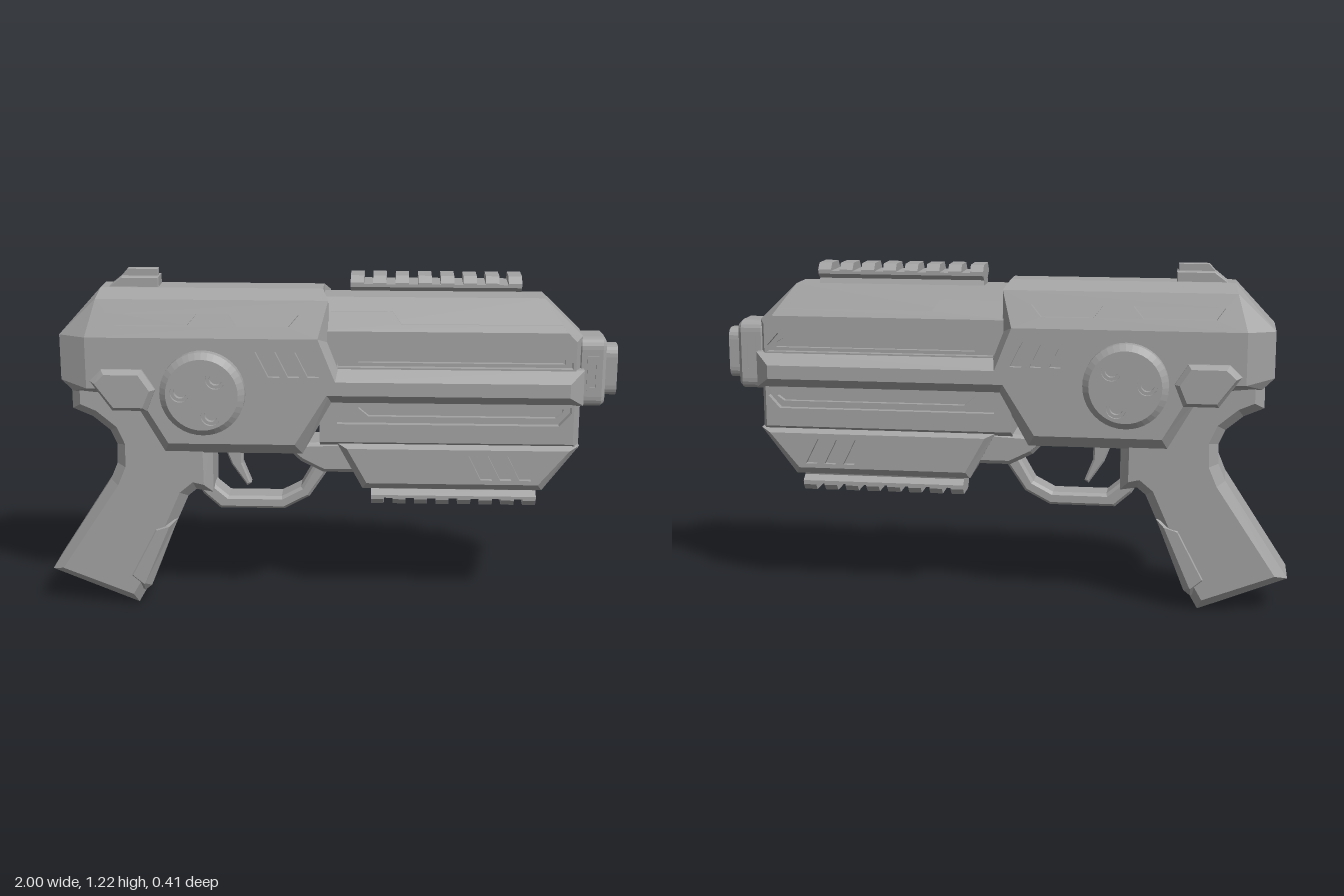
import * as THREE from 'three';

const gray = new THREE.MeshStandardMaterial({ color: 0xa3a3a3 });
gray.name = 'gunmetal gray';

const ccw = (pts) => THREE.ShapeUtils.area(pts.map(([x, y]) => ({ x, y }))) < 0 ? [...pts].reverse() : pts;

// Collects triangles, each mirrored to the other side (z -> -z)
class Faces {
  constructor() { this.pos = []; }
  tri(a, b, c) {
    const m = ([x, y, z]) => [x, y, -z];
    this.pos.push(...a, ...b, ...c, ...m(a), ...m(c), ...m(b));
  }
  quad(a, b, c, d) { this.tri(a, b, c); this.tri(a, c, d); }
  // Surface z = f(x, y) + d inside pts, with walls down to f; d < 0 is a recess. Holes nest.
  relief(pts, f, d = 0, holes = []) {
    const g = (p, h) => [p[0], p[1], f(p[0], p[1]) + h];
    const c = ccw(pts);
    const rings = [c, ...holes.map((h) => ccw(h.pts))];
    const v = rings.map((r) => r.map(([x, y]) => new THREE.Vector2(x, y)));
    const flat = rings.flat();
    for (const [i, j, k] of THREE.ShapeUtils.triangulateShape(v[0], v.slice(1))) {
      this.tri(g(flat[i], d), g(flat[j], d), g(flat[k], d));
    }
    if (d) c.forEach((p, i) => {
      const q = c[(i + 1) % c.length];
      this.quad(g(p, 0), g(q, 0), g(q, d), g(p, d));
    });
    holes.forEach((h) => this.relief(h.pts, (x, y) => f(x, y) + d, h.d, h.holes));
  }
  // Side outlines (counterclockwise) stacked from the outermost z inwards
  shell(layers, holes = [], skipLast = false) {
    this.relief(layers[0].pts, () => layers[0].z, 0, holes);
    for (let k = 0; k + 1 < layers.length; k++) {
      const A = layers[k], B = layers[k + 1], n = A.pts.length;
      for (let i = 0; i < n; i++) {
        if (skipLast && k === 0 && i === n - 1) continue;
        const j = (i + 1) % n;
        this.quad([...B.pts[i], B.z], [...B.pts[j], B.z], [...A.pts[j], A.z], [...A.pts[i], A.z]);
      }
    }
  }
  geometry() {
    const g = new THREE.BufferGeometry();
    g.setAttribute('position', new THREE.Float32BufferAttribute(this.pos, 3));
    g.computeVertexNormals();
    return g;
  }
}

const circle = (cx, cy, r, n = 40) => Array.from({ length: n }, (_, i) => {
  const a = (i / n) * Math.PI * 2;
  return [cx + r * Math.cos(a), cy + r * Math.sin(a)];
});
const shapeOf = (pts) => new THREE.Shape(pts.map(([x, y]) => new THREE.Vector2(x, y)));

// Three slanted vent slots
const vents = (x, y) => [0, 1, 2].map((i) => ({
  pts: [[0, 0.09], [0.045, 0], [0.085, 0], [0.04, 0.09]].map(([a, b]) => [x + a + i * 0.068, y + b]), d: -0.02,
}));

// Rounded rectangle, centred on height y
function roundRect(hw, hh, y, r, Type = THREE.Shape) {
  const s = new Type();
  s.moveTo(hw, y - hh + r);
  s.lineTo(hw, y + hh - r).quadraticCurveTo(hw, y + hh, hw - r, y + hh);
  s.lineTo(-hw + r, y + hh).quadraticCurveTo(-hw, y + hh, -hw, y + hh - r);
  s.lineTo(-hw, y - hh + r).quadraticCurveTo(-hw, y - hh, -hw + r, y - hh);
  s.lineTo(hw - r, y - hh).quadraticCurveTo(hw, y - hh, hw, y - hh + r);
  return s;
}

export function createModel() {
  const model = new THREE.Group();
  const add = (name, geo, parent = model) => {
    const m = new THREE.Mesh(geo, gray);
    m.name = name;
    parent.add(m);
    return m;
  };
  const shaped = (name, build) => { const f = new Faces(); build(f); return add(name, f.geometry()); };
  // Side profile with half width hw and chamfered rims
  const slab = (name, pts, hw, bevel) => {
    const g = new THREE.ExtrudeGeometry(shapeOf(pts), {
      depth: 2 * (hw - bevel), bevelEnabled: true, bevelThickness: bevel, bevelSize: bevel, bevelOffset: -bevel, bevelSegments: 1,
    });
    return add(name, g.translate(0, 0, bevel - hw));
  };
  // Cross-section (z, y) swept along x
  const alongX = (name, shape, x0, x1, bevel = 0, parent = model) => {
    const g = new THREE.ExtrudeGeometry(shape, {
      depth: x1 - x0 - 2 * bevel, bevelEnabled: bevel > 0, bevelThickness: bevel, bevelSize: bevel, bevelOffset: -bevel, bevelSegments: 1, curveSegments: 5,
    });
    return add(name, g.rotateY(Math.PI / 2).translate(x0 + bevel, 0, 0), parent);
  };

  // Rear receiver with vents and slots in its sloped shoulder
  shaped('receiver', (f) => {
    const a = [[-0.835, 1], [-0.835, 1], [-0.835, 0.82], [-0.835, 0.82], [-0.67, 0.82], [-0.555, 0.625],
      [-0.115, 0.625], [0.025, 0.85], [-0.035, 1], [-0.035, 1]];
    const b = [[-0.8, 1.125], [-0.93, 1], [-0.93, 0.84], [-0.89, 0.8], [-0.69, 0.78], [-0.575, 0.58],
      [-0.09, 0.58], [0.055, 0.84], [0, 0.98], [0, 1.125]];
    const c = b.map((p) => [...p]);
    c[0] = [-0.79, 1.155];
    c[9] = [-0.02, 1.155];
    f.shell([{ z: 0.157, pts: a }, { z: 0.11, pts: b }, { z: 0.05, pts: c }, { z: 0, pts: c }], vents(-0.25, 0.865), true);
    const slot = (x0, x1) => ({ pts: [[x0, 1.078], [x0 + 0.03, 1.038], [x1 - 0.035, 1.038], [x1, 1.078]], d: -0.02 });
    f.relief([a[0], a[9], b[9], b[0]], (x, y) => 0.157 - (y - 1) * 0.376, 0, [slot(-0.76, -0.45), slot(-0.345, -0.1)]);
  });

  // Barrel housing with long grooves, each holding a deeper slot
  shaped('barrelHousing', (f) => {
    const a = [[-0.03, 0.625], [0.85, 0.625], [0.85, 0.99], [0.82, 1.02], [-0.03, 1.02]];
    const c = [[-0.03, 0.595], [0.875, 0.595], [0.875, 1], [0.74, 1.13], [-0.03, 1.13]];
    const groove = (flip) => {
      const m = (pts) => pts.map(([x, y]) => [x, flip ? 1.65 - y : y]);
      return {
        pts: m([[0.03, 0.893], [0.84, 0.893], [0.84, 0.915], [0.8, 0.96], [0.03, 0.96]]), d: -0.025,
        holes: [{ pts: m([[0.1, 0.905], [0.815, 0.905], [0.815, 0.92], [0.79, 0.938], [0.14, 0.938]]), d: -0.02 }],
      };
    };
    f.shell([{ z: 0.115, pts: a }, { z: 0.06, pts: c }, { z: 0, pts: c }], [groove(false), groove(true)]);
  });
  shaped('housingTopPanel', (f) => f.relief(
    [[0, 1.025], [0.815, 1.025], [0.8, 1.045], [0.25, 1.045], [0.22, 1.085], [0, 1.085]],
    (x, y) => 0.115 - (y - 1.02) * 0.5, 0.008));
  shaped('sideRidge', (f) => f.shell([
    { z: 0.157, pts: [[-0.01, 0.802], [0.83, 0.802], [0.83, 0.85], [-0.01, 0.85]] },
    { z: 0.112, pts: [[-0.01, 0.765], [0.88, 0.765], [0.88, 0.89], [-0.01, 0.89]] },
    { z: 0.07, pts: [[-0.01, 0.765], [0.88, 0.765], [0.88, 0.89], [-0.01, 0.89]] },
  ]));

  // Lower fore-end
  shaped('foreEnd', (f) => {
    const b = [[0.03, 0.615], [0.12, 0.45], [0.75, 0.45], [0.875, 0.615]];
    f.shell([{ z: 0.115, pts: [[0.065, 0.6], [0.135, 0.475], [0.735, 0.475], [0.84, 0.6]] },
      { z: 0.092, pts: b }, { z: 0, pts: b }], vents(0.49, 0.49));
  });
  slab('frameBridge', [[-0.16, 0.6], [-0.1, 0.54], [-0.02, 0.5], [0.12, 0.5], [0.12, 0.62]], 0.08, 0.015);

  // Toothed rails above and below
  const rail = (name, x0, y, flip) => {
    const g = new THREE.Group();
    g.name = name;
    const base = [[-0.05, -0.01], [0.05, -0.01], [0.04, 0.018], [0.065, 0.035], [0.065, 0.045], [-0.065, 0.045], [-0.065, 0.035], [-0.04, 0.018]];
    const tooth = [[-0.065, 0.04], [0.065, 0.04], [0.065, 0.05], [0.045, 0.072], [-0.045, 0.072], [-0.065, 0.05]];
    alongX('railBase', shapeOf(base), x0, x0 + 0.585, 0, g);
    for (let i = 0; i < 8; i++) alongX('railTooth', shapeOf(tooth), x0 + i * 0.077, x0 + i * 0.077 + 0.046, 0, g);
    g.position.y = y;
    if (flip) g.rotation.x = Math.PI;
    model.add(g);
  };
  rail('topRail', 0.075, 1.13, false);
  rail('bottomRail', 0.15, 0.45, true);

  // Muzzle: flange and hollow tip
  const ring = (hw, hh) => {
    const s = roundRect(hw, hh, 0.872, Math.min(hw, 0.04));
    s.holes.push(roundRect(0.03, 0.075, 0.872, 0.015, THREE.Path));
    return s;
  };
  alongX('muzzleFlange', ring(0.08, 0.123), 0.86, 0.957, 0.012);
  alongX('muzzleTip', ring(0.048, 0.09), 0.94, 1);
  shaped('muzzleSlot', (f) => f.relief([[0.892, 0.812], [0.932, 0.812], [0.932, 0.932], [0.892, 0.932]], () => 0.079, 0.006,
    [{ pts: [[0.902, 0.824], [0.922, 0.824], [0.922, 0.92], [0.902, 0.92]], d: -0.005 }]));

  // Round side dial with three dimples
  shaped('sideDial', (f) => f.shell(
    [[0.205, 0.125], [0.188, 0.147], [0.14, 0.147]].map(([z, r]) => ({ z, pts: circle(-0.43, 0.812, r) })),
    [[-0.075, 0.008], [0.048, 0.055], [0.03, -0.074]].map(([x, y]) => ({
      pts: circle(-0.43 + x, 0.812 + y, 0.034, 24), d: -0.012,
      holes: [{ pts: circle(-0.43 + x, 0.812 + y, 0.023, 24), d: -0.02 }],
    }))));

  // Hexagonal latch
  shaped('sideLatch', (f) => {
    const o = [[-0.82, 0.85], [-0.745, 0.745], [-0.625, 0.745], [-0.595, 0.82], [-0.64, 0.89], [-0.78, 0.89]];
    const i = o.map(([x, y]) => [-0.705 + (x + 0.705) * 0.84, 0.818 + (y - 0.818) * 0.8]);
    f.shell([{ z: 0.187, pts: i }, { z: 0.168, pts: o }, { z: 0.09, pts: o }]);
  });

  // Rear sight
  slab('sightBase', [[-0.77, 1.15], [-0.59, 1.15], [-0.59, 1.19], [-0.72, 1.19]], 0.04, 0.004);
  slab('sightBlade', [[-0.73, 1.18], [-0.595, 1.18], [-0.595, 1.215], [-0.7, 1.215]], 0.013, 0.002);

  // Grip with a raised front panel
  slab('grip', [[-0.9, 0.84], [-0.9, 0.73], [-0.83, 0.7], [-0.77, 0.65], [-0.748, 0.6], [-0.75, 0.53], [-0.775, 0.47],
    [-1, 0.125], [-0.69, 0], [-0.65, 0.07], [-0.5, 0.41], [-0.47, 0.435], [-0.41, 0.425], [-0.41, 0.65], [-0.55, 0.84]], 0.115, 0.033);
  slab('gripPanel', [[-0.735, 0.11], [-0.63, 0.31], [-0.54, 0.325], [-0.64, 0.07], [-0.665, 0.05]], 0.119, 0.025);

  // Trigger and its guard
  slab('trigger', [[-0.385, 0.6], [-0.35, 0.51], [-0.295, 0.43], [-0.28, 0.44], [-0.31, 0.515], [-0.31, 0.6]], 0.025, 0.006);
  slab('triggerGuard', [[-0.47, 0.44], [-0.45, 0.405], [-0.39, 0.352], [-0.16, 0.352], [-0.07, 0.4], [0.01, 0.52],
    [-0.04, 0.54], [-0.1, 0.435], [-0.17, 0.398], [-0.36, 0.398], [-0.41, 0.44]], 0.05, 0.01);

  return model;
}
